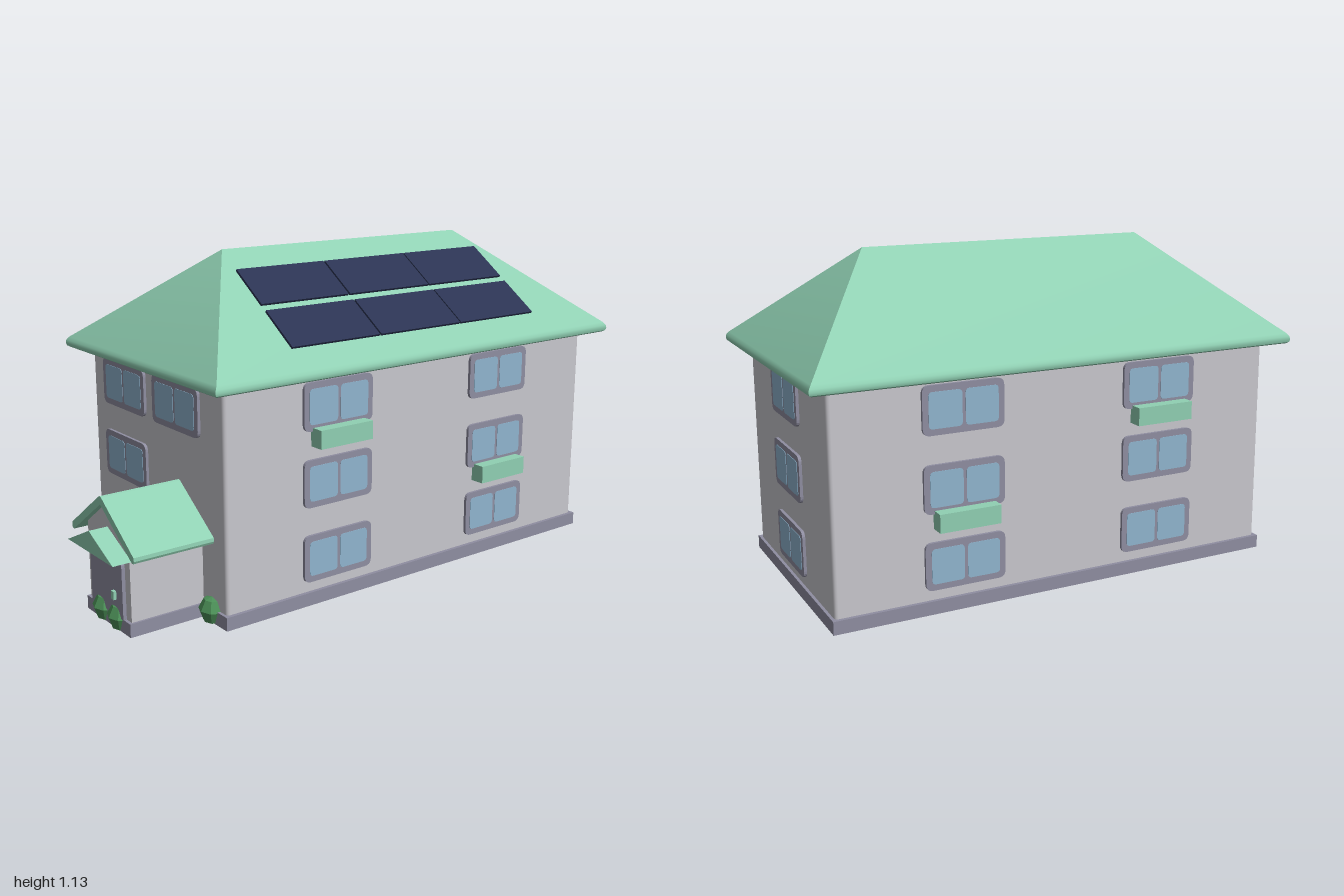
import * as THREE from 'three';
import { toCreasedNormals } from 'three/addons/utils/BufferGeometryUtils.js';
import { RoundedBoxGeometry } from 'three/addons/geometries/RoundedBoxGeometry.js';

const paint = (name, color) => {
  const m = new THREE.MeshStandardMaterial({ color });
  m.name = name;
  return m;
};

const CZ = -0.127; // centre of the main block along z
const PX = 0.145; // centre of the porch along x

// Rounded rectangle centred on the origin, with separate bottom and top radii
function roundedRect(w, h, rBottom, rTop = rBottom) {
  const s = new THREE.Shape(), x = w / 2, y = h / 2;
  s.moveTo(-x + rBottom, -y);
  s.lineTo(x - rBottom, -y);
  s.quadraticCurveTo(x, -y, x, -y + rBottom);
  s.lineTo(x, y - rTop);
  s.quadraticCurveTo(x, y, x - rTop, y);
  s.lineTo(-x + rTop, y);
  s.quadraticCurveTo(-x, y, -x, y - rTop);
  s.lineTo(-x, -y + rBottom);
  s.quadraticCurveTo(-x, -y, -x + rBottom, -y);
  return s;
}

const polygon = (pts) => new THREE.Shape(pts.map(([x, y]) => new THREE.Vector2(x, y)));

const extrude = (shape, depth) =>
  new THREE.ExtrudeGeometry(shape, { depth, bevelEnabled: false, curveSegments: 5 });

// Hip roof from rectangular loops [half width, half length, height]
function hipRoof(loops) {
  const corners = [[1, 1], [1, -1], [-1, -1], [-1, 1]];
  const pos = [];
  const at = ([hx, hz, y], k) => [corners[k][0] * hx, y, corners[k][1] * hz];
  for (let i = 0; i < loops.length - 1; i++) {
    for (let k = 0; k < 4; k++) {
      const n = (k + 1) % 4, lo = loops[i], hi = loops[i + 1];
      pos.push(...at(lo, k), ...at(lo, n), ...at(hi, n));
      pos.push(...at(lo, k), ...at(hi, n), ...at(hi, k));
    }
  }
  const g = new THREE.BufferGeometry();
  g.setAttribute('position', new THREE.Float32BufferAttribute(pos, 3));
  g.computeVertexNormals();
  return toCreasedNormals(g, 0.6);
}

export function createModel() {
  const house = new THREE.Group();
  house.name = 'house';

  const wallMat = paint('wall grey', 0xc8c7cd);
  const trimMat = paint('trim slate', 0x8f8ea1);
  const roofMat = paint('roof mint', 0x90d0b3);
  const glassMat = paint('glass blue', 0x90b5cf);
  const solarMat = paint('solar navy', 0x2b3453);
  const bushMat = paint('bush green', 0x4c9058);
  bushMat.flatShading = true;

  const add = (name, geo, mat, x = 0, y = 0, z = 0, parent = house) => {
    const m = new THREE.Mesh(geo, mat);
    m.name = name;
    m.position.set(x, y, z);
    parent.add(m);
    return m;
  };

  // Main block
  add('walls', new RoundedBoxGeometry(0.834, 0.77, 1.602, 2, 0.012), wallMat, 0, 0.4, CZ);
  add('plinth', new THREE.BoxGeometry(0.86, 0.045, 1.622), trimMat, 0, 0.0225, CZ);
  add('roof', hipRoof([
    [0, 0, 0.768], [0.477, 0.861, 0.768], [0.485, 0.869, 0.773], [0.488, 0.872, 0.782],
    [0.486, 0.87, 0.793], [0.478, 0.862, 0.804], [0, 0.525, 1.132],
  ]), roofMat, 0, 0, CZ);

  // Windows: a rounded frame with two panes
  const frameGeo = extrude(roundedRect(0.28, 0.16, 0.025), 0.012);
  const paneGeo = extrude(roundedRect(0.114, 0.118, 0.014), 0.002);
  const rows = [0.16, 0.415, 0.67];
  function addWindow(x, y, z, turn) {
    const w = new THREE.Group();
    w.name = 'window';
    add('windowFrame', frameGeo, trimMat, 0, 0, 0, w);
    for (const s of [-1, 1]) add('windowPane', paneGeo, glassMat, s * 0.0625, 0, 0.0115, w);
    w.position.set(x, y, z);
    w.rotation.y = turn;
    house.add(w);
  }
  const frontZ = CZ + 0.799, backZ = CZ - 0.799;
  for (const y of rows) {
    addWindow(-0.19, y, frontZ, 0);
    addWindow(0, y, backZ, Math.PI);
    for (const s of [-1, 1])
      for (const z of [0.238, -0.488]) addWindow(s * 0.415, y, z, s * Math.PI / 2);
  }
  addWindow(0.145, rows[2], frontZ, 0);

  // Window boxes, mirrored on both long sides
  const boxGeo = new THREE.BoxGeometry(0.055, 0.062, 0.212);
  for (const s of [-1, 1]) {
    add('windowBox', boxGeo, roofMat, s * 0.4425, 0.57, 0.238);
    add('windowBox', boxGeo, roofMat, s * 0.4425, 0.315, -0.488);
  }

  // Solar panels lying on the left slope
  const slope = Math.atan2(0.328, 0.478);
  const panelGeo = new THREE.BoxGeometry(0.141 / Math.cos(slope), 0.008, 0.357);
  for (const x of [0.166, 0.331])
    for (const z of [0.228, -0.136, -0.498]) {
      const p = add('solarPanel', panelGeo, solarMat, x, 1.132 - x * Math.tan(slope) + 0.007, z);
      p.rotation.z = -slope;
    }

  // Porch: gabled walls, plinth, door, pitched roof and small pediment
  add('porchWalls', extrude(polygon([
    [-0.135, 0.02], [0.135, 0.02], [0.135, 0.308], [0, 0.402], [-0.135, 0.308],
  ]), 0.275), wallMat, PX, 0, 0.66);
  add('porchPlinth', new THREE.BoxGeometry(0.286, 0.045, 0.285), trimMat, PX, 0.0225, 0.8025);
  add('porchRoof', extrude(polygon([
    [-0.2, 0.264], [-0.192, 0.263], [0, 0.398], [0.192, 0.263], [0.2, 0.264], [0.204, 0.272],
    [0.203, 0.284], [0.008, 0.422], [0, 0.425], [-0.008, 0.422], [-0.203, 0.284], [-0.204, 0.272],
  ]), 0.285), roofMat, PX, 0, 0.672);
  add('pediment', extrude(polygon([[-0.15, 0.25], [0.15, 0.25], [0, 0.321]]), 0.07), roofMat, PX, 0, 0.93);
  add('door', extrude(roundedRect(0.206, 0.196, 0.002, 0.025), 0.015), trimMat, PX, 0.142, 0.932);
  add('doorHandle', new THREE.BoxGeometry(0.016, 0.028, 0.014), roofMat, 0.2, 0.115, 0.95);

  // Faceted bushes
  const bushGeo = new THREE.LatheGeometry([
    [0, 0.002], [0.036, 0.002], [0.052, 0.04], [0.032, 0.074], [0, 0.082],
  ].map(([r, y]) => new THREE.Vector2(r, y)), 8);
  for (const [x, z] of [[-0.335, 0.672], [0.33, 0.672], [0.097, 0.926], [0.195, 0.926]]) {
    const b = add('bush', bushGeo, bushMat, x, 0, z);
    b.scale.z = 0.85;
  }

  return house;
}
